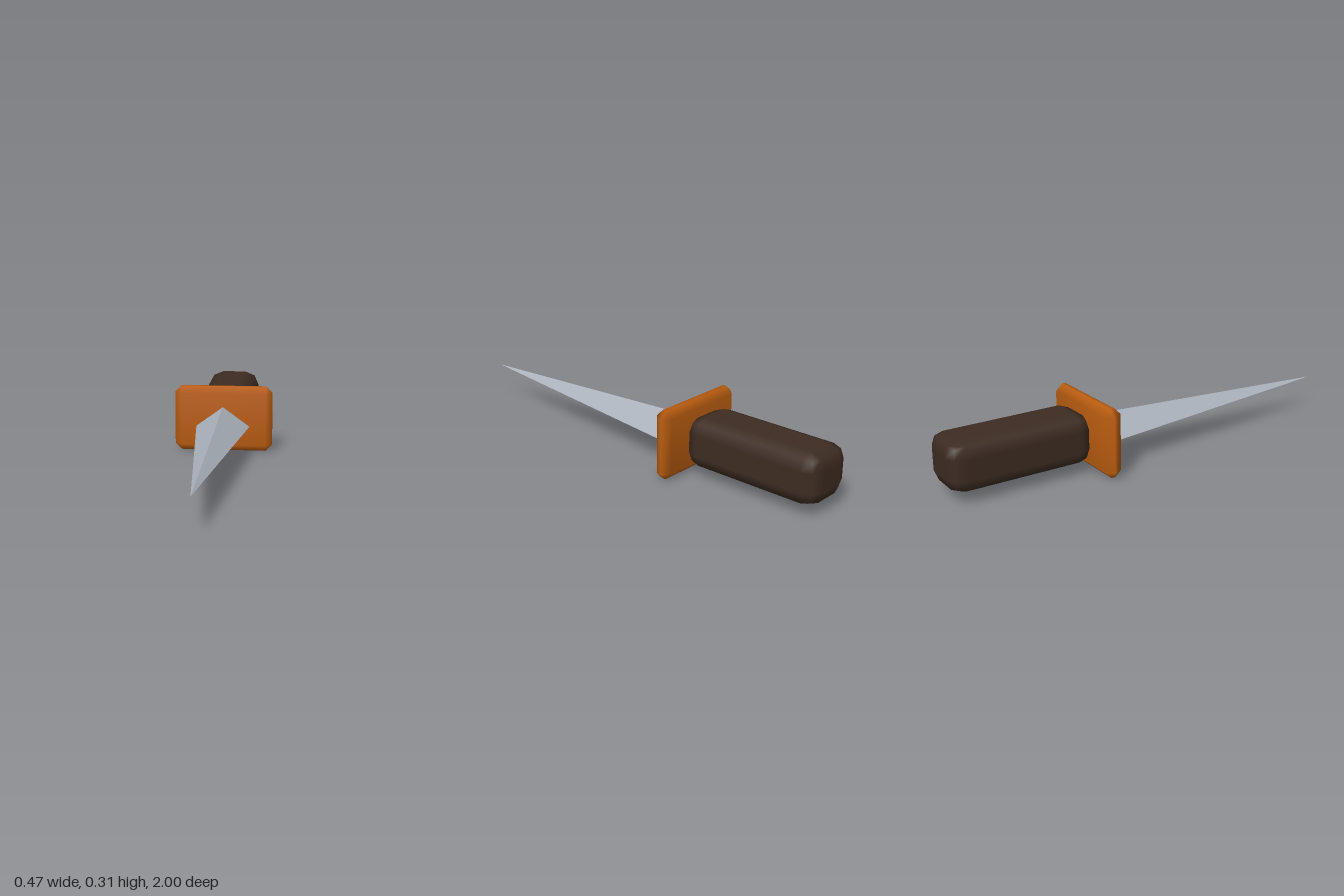
import * as THREE from 'three';
import { mergeVertices } from 'three/addons/utils/BufferGeometryUtils.js';
import { RoundedBoxGeometry } from 'three/addons/geometries/RoundedBoxGeometry.js';
import { ConvexGeometry } from 'three/addons/geometries/ConvexGeometry.js';

const material = (name, color) => {
  const m = new THREE.MeshStandardMaterial({ color });
  m.name = name;
  return m;
};

// Box with one straight chamfer on every edge and smooth normals
function chamferBox(w, h, d, c) {
  const half = [w / 2, h / 2, d / 2];
  const points = [];
  for (let axis = 0; axis < 3; axis++)
    for (const sx of [-1, 1])
      for (const sy of [-1, 1])
        for (const sz of [-1, 1]) {
          // each corner gives three points, one kept on each outer face
          const p = [sx, sy, sz].map((s, i) => s * (half[i] - (i === axis ? 0 : c)));
          points.push(new THREE.Vector3(...p));
        }
  const geometry = new ConvexGeometry(points);
  geometry.deleteAttribute('normal');
  const smooth = mergeVertices(geometry, 1e-4);
  smooth.computeVertexNormals();
  return smooth;
}

export function createModel() {
  const group = new THREE.Group();
  group.name = 'dagger';

  const add = (name, geometry, mat, y = 0, z = 0) => {
    const mesh = new THREE.Mesh(geometry, mat);
    mesh.name = name;
    mesh.position.set(0, y, z);
    group.add(mesh);
  };

  const steel = material('steel', 0xaab1bb);
  steel.flatShading = true;

  // Blade: long three-sided spike with a ridge along the top
  add('blade', new ConvexGeometry([
    new THREE.Vector3(0, 0.22, -0.25),
    new THREE.Vector3(0.127, 0.127, -0.25),
    new THREE.Vector3(-0.127, 0.127, -0.25),
    new THREE.Vector3(0, 0.158, 1),
  ]), steel);

  // Guard: chamfered plate
  add('guard', chamferBox(0.467, 0.313, 0.08, 0.031), material('copper', 0xb85c10), 0.1565, -0.301);

  // Handle: softly rounded block
  add('handle', new RoundedBoxGeometry(0.258, 0.23, 0.66, 1, 0.07), material('darkLeather', 0x3d2c22), 0.158, -0.67);

  return group;
}
